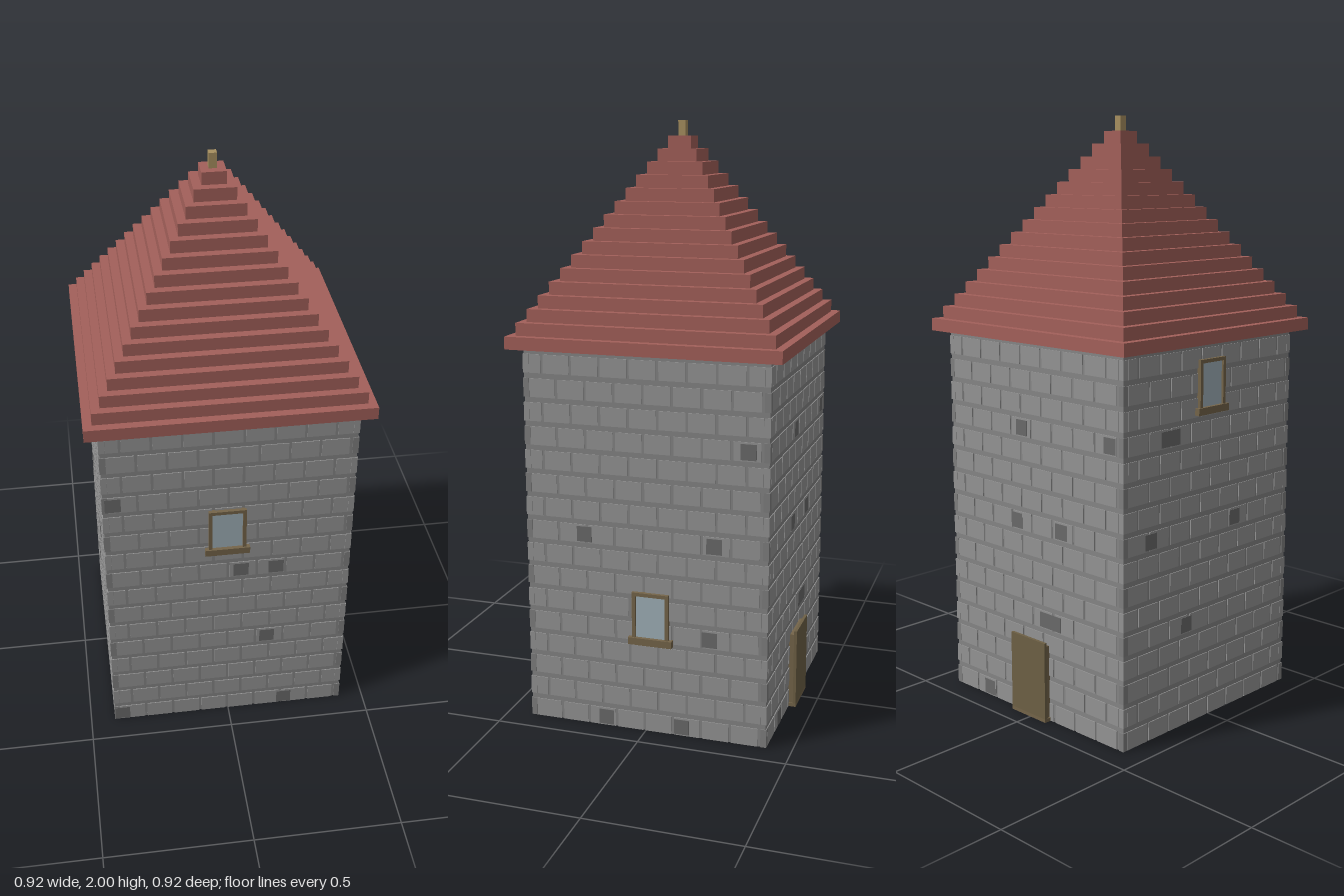
import * as THREE from 'three';
import { mergeGeometries } from 'three/addons/utils/BufferGeometryUtils.js';

const mat = (color) => new THREE.MeshStandardMaterial({ color });
const MATS = {
  mortar: mat(0x858585), stone: mat(0x949494), quoin: mat(0x7f7f7f), accent: mat(0x6a6a6a),
  roof: mat(0xa3605a), wood: mat(0x75654a), door: mat(0x6e6045), glass: mat(0xa0b0b8), finial: mat(0xa89060),
};
const HALF = 0.415, ROW = 0.08, ROWS = 16, STONE_H = 0.062;

// box geometry given by its lower and upper corners
function span(x0, x1, y0, y1, z0, z1) {
  return new THREE.BoxGeometry(x1 - x0, y1 - y0, z1 - z0)
    .translate((x0 + x1) / 2, (y0 + y1) / 2, (z0 + z1) / 2);
}

function part(parent, name, geometries, material) {
  const mesh = new THREE.Mesh(mergeGeometries(geometries), material);
  mesh.name = name;
  parent.add(mesh);
}

// staggered courses of shallow stones on one wall
function stoneCourses() {
  const list = [], edge = 0.394, width = 0.0985;
  for (let r = 0; r < ROWS; r++) {
    const y = r * ROW, shift = r % 2 ? width / 2 : 0;
    for (let i = 0; i < 9; i++) {
      const a = Math.max(-edge, -edge + i * width - shift);
      const b = Math.min(edge, -edge + (i + 1) * width - shift - 0.009);
      if (b - a > 0.01) list.push(span(a, b, y, y + STONE_H, 0.405, HALF));
    }
  }
  return list;
}

// framed window with sill, centred on x, sill bottom at y
function makeWindow(parent, x, y) {
  const g = new THREE.Group();
  g.name = 'window';
  g.position.set(x, y, 0);
  const w = 0.0625, t = 0.012, top = 0.18, z0 = 0.405, z1 = 0.427;
  part(g, 'windowFrame', [
    span(-w, -w + t, 0.024, top, z0, z1),
    span(w - t, w, 0.024, top, z0, z1),
    span(-w + t, w - t, top - t, top, z0, z1),
  ], MATS.wood);
  part(g, 'windowSill', [span(-0.075, 0.075, 0, 0.024, z0, 0.432)], MATS.wood);
  part(g, 'windowGlass', [span(-w + t, w - t, 0.024, top - t, z0, 0.419)], MATS.glass);
  parent.add(g);
}

// walls: turn about y, window [x, y], dark stones [x, y, width]
const WALLS = [
  { name: 'frontWall', turn: 0, window: [-0.008, 0.755],
    accents: [[-0.38, 0.99], [0.04, 0.67], [0.16, 0.67], [0.135, 0.35], [0.205, 0.03], [-0.385, 0.03]] },
  { name: 'leftWall', turn: Math.PI / 2, window: [0.02, 0.31],
    accents: [[0.345, 0.99], [-0.21, 0.67], [0.235, 0.67], [0.22, 0.35], [-0.14, 0.03], [0.125, 0.03]] },
  { name: 'backWall', turn: Math.PI,
    accents: [[-0.05, 0.99], [0.356, 0.99], [-0.08, 0.67], [0.134, 0.67], [-0.237, 0.03], [0.08, 0.35, 0.1]] },
  { name: 'rightWall', turn: -Math.PI / 2, window: [-0.008, 1.047],
    accents: [[-0.2, 0.99, 0.09], [-0.29, 0.67], [0.125, 0.67], [-0.117, 0.35]] },
];

export function createModel() {
  const model = new THREE.Group();
  model.name = 'tower';

  // solid core with corner stones
  part(model, 'wallCore', [span(-0.412, 0.412, 0, 1.28, -0.412, 0.412)], MATS.mortar);
  const corners = [[], []];
  for (let r = 0; r < ROWS; r++)
    for (const sx of [-1, 1]) for (const sz of [-1, 1])
      corners[r % 2].push(new THREE.BoxGeometry(0.02, STONE_H, 0.02)
        .translate(sx * 0.405, r * ROW + STONE_H / 2, sz * 0.405));
  part(model, 'lightCornerStones', corners[1], MATS.stone);
  part(model, 'darkCornerStones', corners[0], MATS.quoin);

  // four walls with their stones and windows
  for (const w of WALLS) {
    const wall = new THREE.Group();
    wall.name = w.name;
    wall.rotation.y = w.turn;
    part(wall, 'stoneCourses', stoneCourses(), MATS.stone);
    part(wall, 'darkStones', w.accents.map(([x, y, width = 0.052]) =>
      span(x - width / 2, x + width / 2, y - 0.026, y + 0.026, 0.405, 0.4165)), MATS.accent);
    if (w.window) makeWindow(wall, ...w.window);
    if (w.name === 'backWall') {
      // door leaf in front of its frame
      part(wall, 'doorFrame', [span(-0.085, 0.07, 0, 0.265, 0.405, 0.43)], MATS.wood);
      part(wall, 'door', [span(-0.09, 0.075, 0.012, 0.28, 0.43, 0.44)], MATS.door);
      part(wall, 'doorStep', [span(-0.09, 0.075, 0, 0.012, 0.405, 0.44)], MATS.wood);
    }
    model.add(wall);
  }

  // stepped pyramid roof
  const steps = 16, rise = 0.67 / steps, roof = [];
  for (let i = 0; i < steps; i++) {
    const h = 0.458 - i * 0.0279, y = 1.28 + i * rise;
    roof.push(span(-h, h, y, y + rise, -h, h));
  }
  part(model, 'roof', roof, MATS.roof);
  part(model, 'finial', [span(-0.013, 0.013, 1.95, 2, -0.013, 0.013)], MATS.finial);
  return model;
}
